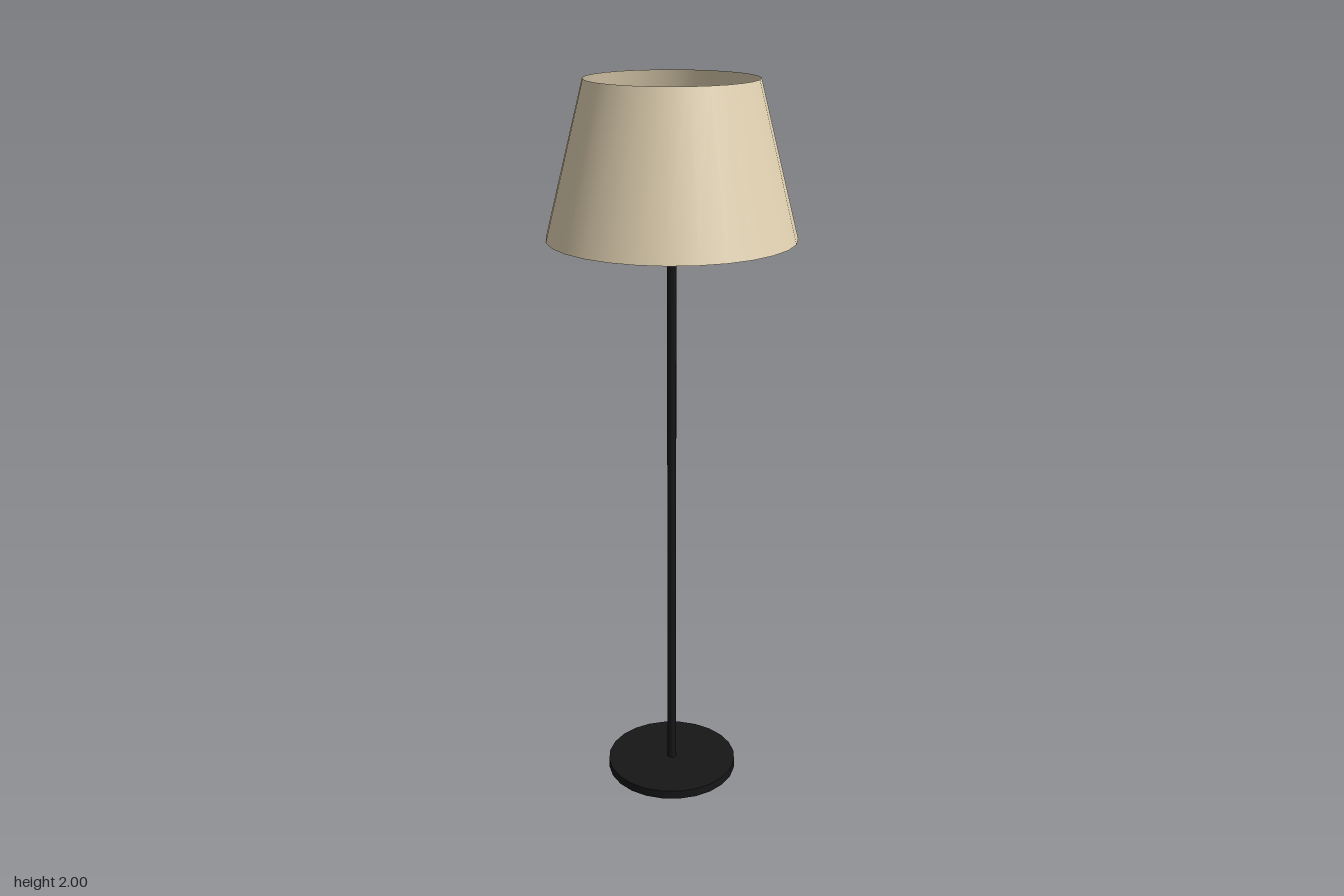
import * as THREE from 'three';

export function createModel() {
  const lamp = new THREE.Group();
  lamp.name = 'floorLamp';

  const black = new THREE.MeshStandardMaterial({ color: 0x161618 });
  const fabric = new THREE.MeshStandardMaterial({ color: 0xe3d3b3, side: THREE.DoubleSide });
  const glow = new THREE.MeshStandardMaterial({ color: 0xffebb8 });

  const add = (name, geometry, material, y) => {
    const mesh = new THREE.Mesh(geometry, material);
    mesh.name = name;
    mesh.position.y = y;
    lamp.add(mesh);
    return mesh;
  };

  // Flat round foot
  const baseHeight = 0.025;
  add('base', new THREE.CylinderGeometry(0.188, 0.188, baseHeight, 24), black, baseHeight / 2);

  // Slim pole from the foot up to the bulb
  const poleTop = 1.77;
  const poleLength = poleTop - baseHeight;
  add('pole', new THREE.CylinderGeometry(0.0125, 0.0125, poleLength, 12), black, baseHeight + poleLength / 2);

  // Round bulb inside the shade
  const bulb = add('bulb', new THREE.SphereGeometry(0.068, 14, 10), glow, 1.825);
  bulb.rotation.y = Math.PI / 2;

  // Tapered shade, open at both ends
  const shadeBottom = 1.595;
  const shadeHeight = 2 - shadeBottom;
  add('shade', new THREE.CylinderGeometry(0.225, 0.329, shadeHeight, 28, 1, true), fabric, shadeBottom + shadeHeight / 2);

  return lamp;
}
